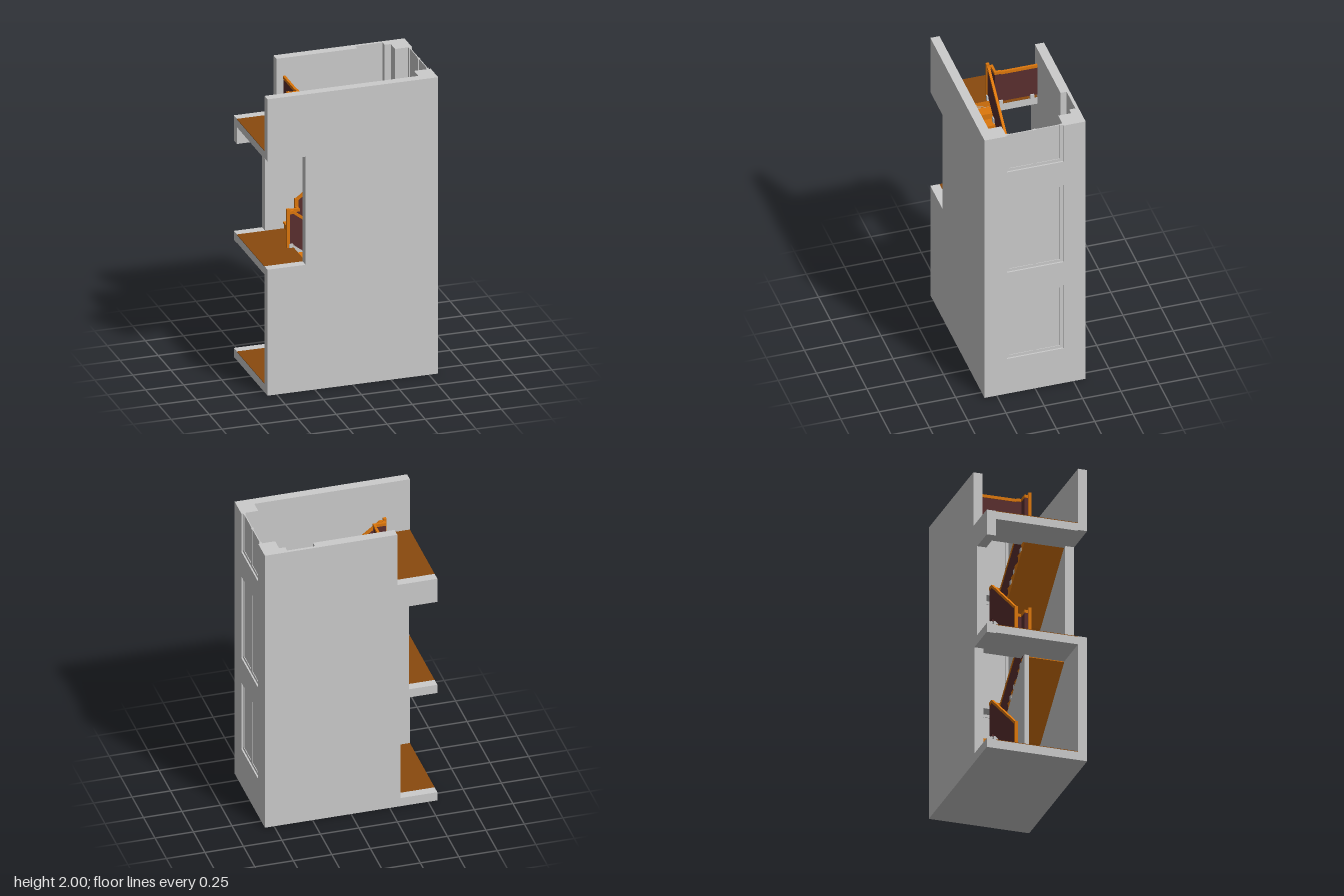
import * as THREE from 'three';

const mat = (color) => new THREE.MeshStandardMaterial({ color, flatShading: true, side: THREE.DoubleSide });

export function createModel() {
  const root = new THREE.Group();
  const grey = mat(0xcccccc), orange = mat(0xdd770c), brown = mat(0x8a4a0e), maroon = mat(0x5a2e2e);

  const add = (name, geo, m) => {
    const mesh = new THREE.Mesh(geo, m);
    mesh.name = name;
    root.add(mesh);
    return mesh;
  };
  // Box from its low and high limits
  const box = (name, m, x0, x1, y0, y1, z0, z1) =>
    add(name, new THREE.BoxGeometry(x1 - x0, y1 - y0, z1 - z0), m)
      .position.set((x0 + x1) / 2, (y0 + y1) / 2, (z0 + z1) / 2);
  const outline = (pts) => new THREE.Shape(pts.map(([x, y]) => new THREE.Vector2(x, y)));
  // Upright slab with an x-y outline, between two z positions
  const slab = (name, m, pts, z0, z1) =>
    add(name, new THREE.ExtrudeGeometry(outline(pts), { depth: z1 - z0, bevelEnabled: false }), m).position.z = z0;

  // Main sizes
  const X = 0.56, Z = 0.33, ZI = 0.27, XI = 0.45;
  const levels = [0.06, 0.85, 1.63];
  const rise = 0.785 / 17, half = rise * 8, pitch = 0.064;
  const backX = -0.25, frontX = 0.22, frontTop = frontX - pitch * 8;

  // Front wall with its open bay
  slab('frontWall', grey, [[-X, 0], [X, 0], [X, 2], [-X, 2], [-X, 1.58], [-0.31, 1.58], [-0.31, 0.85], [-X, 0.85]], ZI, Z);

  // Back wall: outer skin, and inner layer cut by a tall niche
  const openSide = [[-0.3, 2], [-0.3, 1.63], [-X, 1.63], [-X, 1.46], [-0.375, 1.46], [-0.375, 0.85], [-X, 0.85],
    [-X, 0.79], [-0.32, 0.79], [-0.32, 0.06], [-X, 0.06], [-X, 0]];
  slab('backWallOuter', grey, [[X, 0], [X, 2], ...openSide], -Z, -0.31);
  const nicheY = levels[0] + half;
  slab('backWallInner', grey,
    [[X, 0], [X, 2], [0.41, 2], [0.41, nicheY], [0.23, nicheY], [0.23, 2], ...openSide], -0.31, -ZI);

  // Window wall: two openings and one that runs out at the top
  const W = 0.185;
  const wall = outline([[-ZI, 0], [ZI, 0], [ZI, 2], [W, 2], [W, 1.72], [-W, 1.72], [-W, 2], [-ZI, 2]]);
  const windows = [[0.27, 0.76], [0.94, 1.54], [1.72, 2]];
  for (const [a, b] of windows.slice(0, 2)) wall.holes.push(outline([[-W, a], [-W, b], [W, b], [W, a]]));
  const wallGeo = new THREE.ExtrudeGeometry(wall, { depth: X - XI, bevelEnabled: false });
  add('windowWall', wallGeo.rotateY(Math.PI / 2), grey).position.x = XI;

  // Windows: frame bars around two panes
  windows.forEach(([a, b], i) => {
    const cut = i === 2, top = cut ? b : b - 0.02;
    for (const z of [-W, -0.01, W - 0.02]) box('windowFrame', grey, 0.535, 0.55, a, b, z, z + 0.02);
    box('windowFrame', grey, 0.535, 0.55, a, a + 0.02, -W, W);
    if (!cut) box('windowFrame', grey, 0.535, 0.55, top, b, -W, W);
    for (const s of [-1, 1]) {
      const z0 = s < 0 ? -W + 0.02 : 0.01;
      box('windowPane', grey, 0.54, 0.546, a + 0.02, top, z0, z0 + W - 0.03);
    }
  });

  // Ground slab and the floors at the open end
  box('groundSlab', grey, -X, XI, 0, 0.056, -ZI, ZI);
  box('groundFloor', brown, -X, XI, 0.056, 0.06, -ZI, ZI);
  for (const y of levels.slice(1)) {
    for (const [x0, x1, z1] of [[-X, frontTop, ZI], [frontTop, backX, 0]]) {
      box('floorSlab', grey, x0, x1, y - 0.056, y - 0.004, -ZI, z1);
      box('floorTop', brown, x0, x1, y - 0.004, y, -ZI, z1);
    }
  }

  // Stepped flight climbing along x in direction dir, with a sloping soffit
  const flight = (name, x0, y0, dir, risers, z0, z1) => {
    const pts = [];
    for (let i = 0; i < risers; i++) {
      const x = x0 + dir * i * pitch;
      pts.push([x, y0 + i * rise], [x, y0 + (i + 1) * rise]);
    }
    const [ex, ey] = pts[pts.length - 1];
    pts.push([ex, ey - 0.056], [x0 + dir * 0.055, y0]);
    slab(name, orange, pts, z0, z1);
    // thin tread noses
    for (let i = 0; i < risers - 1; i++) {
      const x = x0 + dir * (i * pitch - 0.004), y = y0 + (i + 1) * rise;
      box('treadNose', orange, x - 0.004, x + 0.004, y - 0.01, y, z0, z1);
    }
  };

  // Railing run along x: solid panel with a handrail, following a list of floor points
  const railHeight = 0.25;
  const band = (pts, lo, hi) => [...pts.map(([x, y]) => [x, y + lo]), ...[...pts].reverse().map(([x, y]) => [x, y + hi])];
  const railAlongX = (pts, z) => {
    slab('railPanel', maroon, band(pts, 0.02, railHeight - 0.015), z - 0.004, z + 0.004);
    slab('handrail', orange, band(pts, railHeight - 0.02, railHeight), z - 0.008, z + 0.008);
  };
  const railAlongZ = (x, y, z0, z1) => {
    box('railPanel', maroon, x - 0.004, x + 0.004, y + 0.02, y + railHeight - 0.02, z0, z1);
    box('handrail', orange, x - 0.008, x + 0.008, y + railHeight - 0.02, y + railHeight, z0, z1);
  };
  const bracket = (x, y, z) => box('railBracket', grey, x - 0.013, x + 0.013, y - 0.005, y + 0.03, z - 0.012, z + 0.012);

  for (const base of levels.slice(0, 2)) {
    const mid = base + half, top = base + rise * 17;
    flight('backFlight', backX, base, 1, 8, -ZI, -0.01);
    flight('frontFlight', frontX, mid, -1, 9, 0.01, ZI);

    // Half landing, running into the niche
    box('landingSlab', grey, 0.2, XI, mid - 0.056, mid - 0.006, -ZI, ZI);
    box('landingTop', orange, 0.199, XI, mid - 0.006, mid, -ZI, ZI);
    box('nicheFloor', orange, 0.23, 0.41, mid - 0.006, mid + 0.001, -0.309, -ZI);

    // Railing around the stair well
    railAlongX([[backX, base + rise], [0.2, mid + rise * 0.5], [0.245, mid + rise * 0.5]], -0.033);
    railAlongZ(0.238, mid + rise * 0.5, -0.033, 0.033);
    railAlongX([[0.245, mid + rise * 0.5], [frontX, mid + rise * 0.5], [frontTop, top], [-0.325, top]], 0.031);
    railAlongZ(-0.318, top, 0, 0.031);
    railAlongX([[-0.325, top], [-0.242, top]], 0.005);
    railAlongZ(backX, top, -0.033, 0.005);
    box('railPost', orange, -0.335, -0.315, top, top + railHeight + 0.015, 0.021, 0.041);
    box('railPost', orange, backX - 0.01, backX + 0.01, base, base + railHeight + rise, -0.043, -0.023);

    // Grey fixings along both flights
    const slope = rise / pitch;
    for (const x of [-0.1, -0.04, 0.15]) bracket(x, base + rise + (x - backX) * slope, -0.033);
    for (const x of [-0.18, -0.055, 0.01, 0.2]) bracket(x, mid + rise + (frontX - x) * slope, 0.031);
    bracket(-0.308, top, 0.031);
    bracket(-0.308, top, 0.005);
  }

  // Guard across the stair opening on the top floor
  railAlongZ(backX, levels[2], -ZI, -0.033);
  for (const z of [-0.235, -0.03]) bracket(backX, levels[2], z);

  // Partition below the front flight on the ground floor
  slab('partition', grey, [[-0.32, 0.06], [0.22, 0.06], [0.22, 0.37], [-0.29, 0.79], [-0.32, 0.79]], 0, 0.03);

  return root;
}
